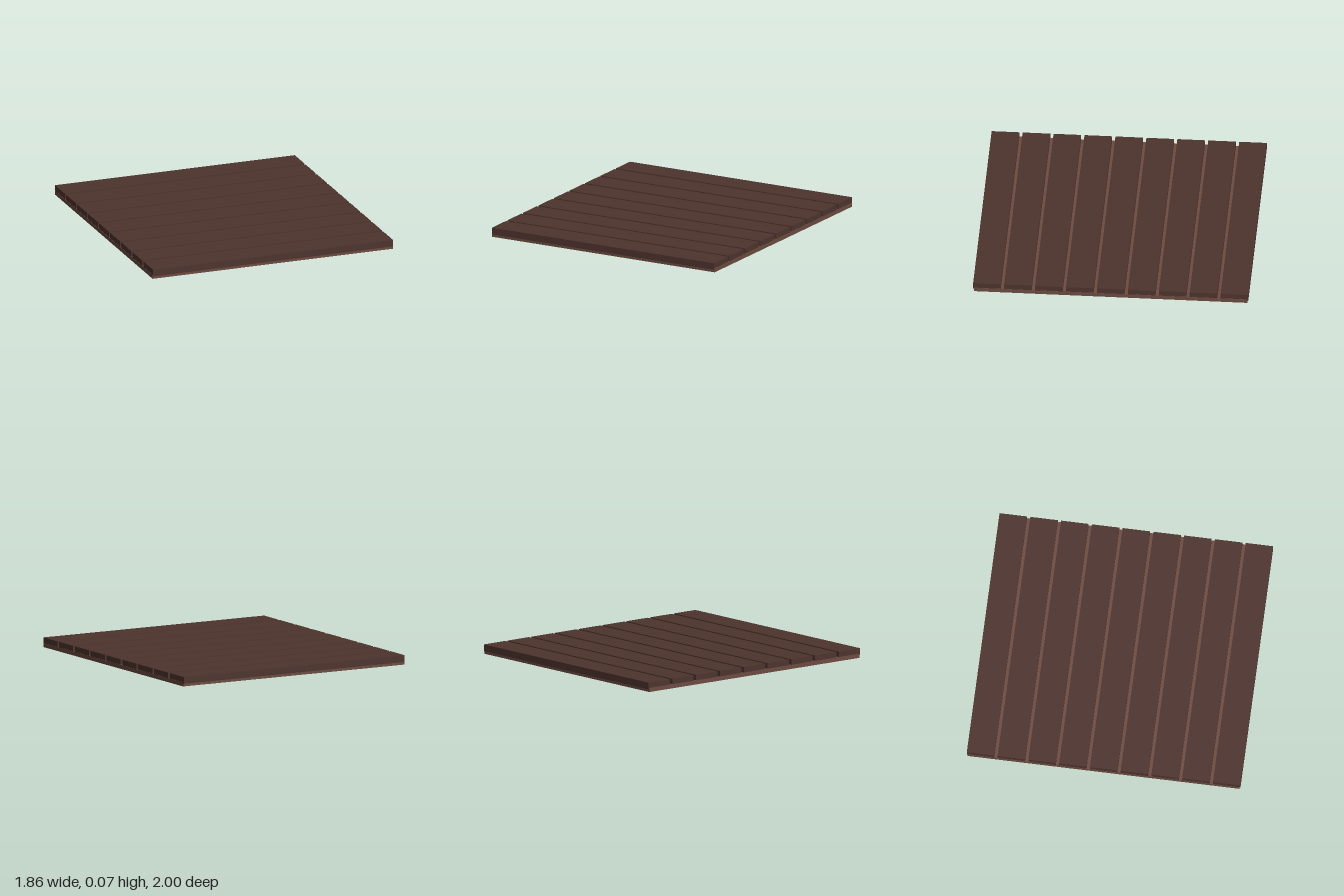
import * as THREE from 'three';

const PLANKS = 9, PLANK_DEPTH = 0.201, PITCH = (2 - PLANK_DEPTH) / (PLANKS - 1);

function box(name, w, d, y0, y1, material) {
  const mesh = new THREE.Mesh(new THREE.BoxGeometry(w, y1 - y0, d), material);
  mesh.name = name;
  mesh.position.y = (y0 + y1) / 2;
  return mesh;
}

export function createModel() {
  const model = new THREE.Group();
  model.name = 'plankFloor';
  const baseWood = new THREE.MeshStandardMaterial({ color: 0x6d4c41 });
  const plankWood = new THREE.MeshStandardMaterial({ color: 0x4e342e });

  // Backing board, set in slightly at front and back
  model.add(box('base', 1.864, 1.988, 0, 0.03, baseWood));

  // Planks running along x, sunk a little into the board
  const planks = new THREE.Group();
  planks.name = 'planks';
  for (let i = 0; i < PLANKS; i++) {
    const plank = box('plank' + (i + 1), 1.86, PLANK_DEPTH, 0.02, 0.07, plankWood);
    plank.position.z = (i - (PLANKS - 1) / 2) * PITCH;
    planks.add(plank);
  }
  model.add(planks);
  return model;
}
